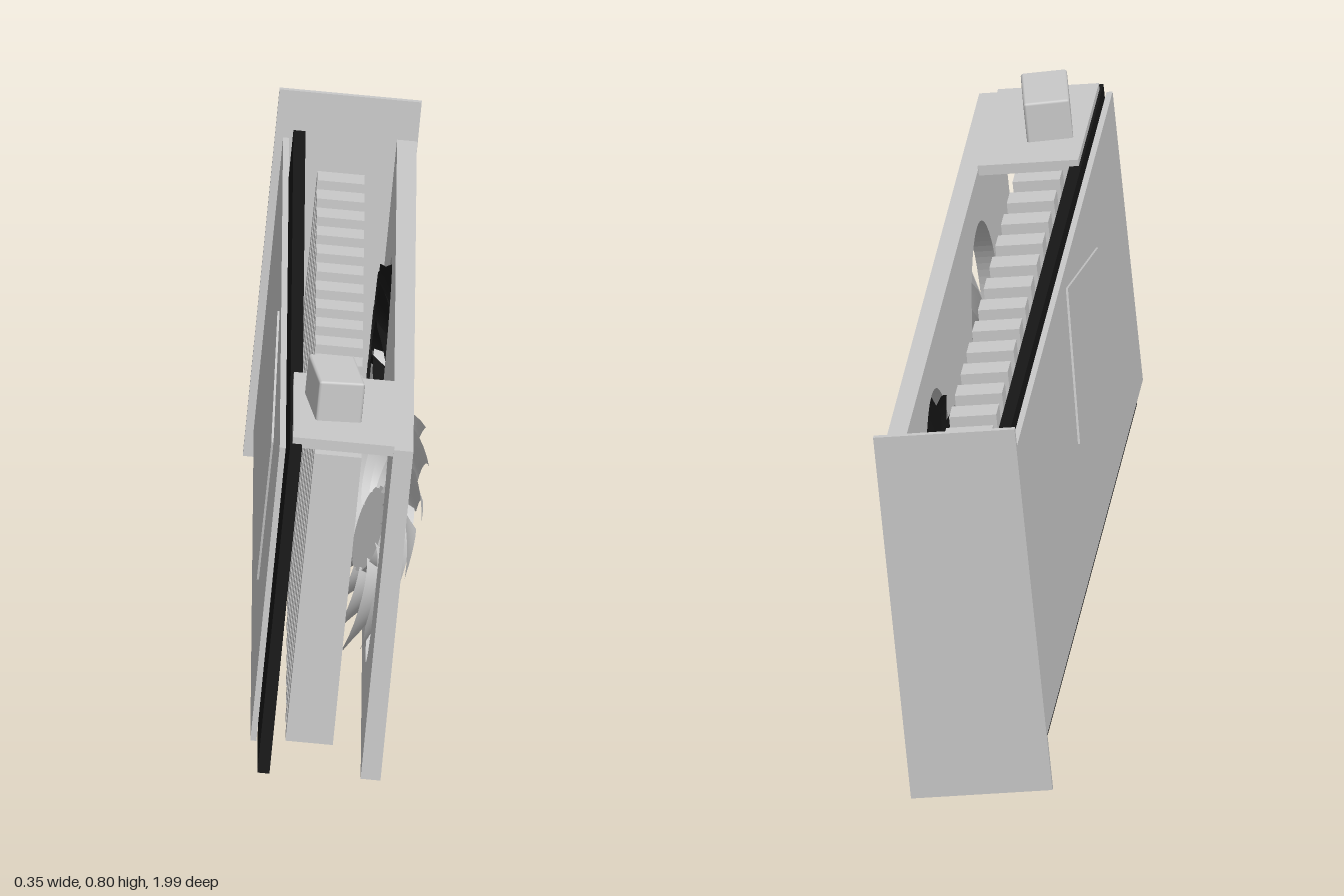
import * as THREE from 'three';
import { RoundedBoxGeometry } from 'three/addons/geometries/RoundedBoxGeometry.js';

export function createModel() {
  const grey = new THREE.MeshStandardMaterial({ color: 0xcacaca });
  grey.name = 'light grey';
  const black = new THREE.MeshStandardMaterial({ color: 0x171717, side: THREE.DoubleSide });
  black.name = 'black';
  const silver = new THREE.MeshStandardMaterial({ color: 0xcdcdcd, side: THREE.DoubleSide });
  silver.name = 'silver';

  // The card leans slightly: pitch first, then roll
  const card = new THREE.Group();
  card.name = 'card';
  card.rotation.set(-0.037, 0, -0.0955, 'ZXY');
  card.position.y = 0.38;

  const add = (name, geometry, material, x = 0, y = 0, z = 0, parent = card) => {
    const mesh = new THREE.Mesh(geometry, material);
    mesh.name = name;
    mesh.position.set(x, y, z);
    parent.add(mesh);
    return mesh;
  };
  const box = (name, material, w, h, d, x, y, z) =>
    add(name, new THREE.BoxGeometry(w, h, d), material, x, y, z);

  // Board, backplate and end bracket
  box('circuitBoard', black, 0.022, 0.618, 1.93, -0.0866, -0.009, 0.018);
  box('backplate', grey, 0.011, 0.557, 1.885, -0.110, 0.0135, 0.02);
  box('backplatePanel', grey, 0.006, 0.285, 0.49, -0.1165, 0.07, 0.24).rotation.x = 0.205;
  box('endBracket', grey, 0.258, 0.697, 0.012, 0, 0.017, -0.981);

  // Heatsink bars
  for (let i = 0; i < 16; i++) {
    box('heatsinkFin', grey, 0.086, 0.546, 0.056, -0.007, -0.012, -0.81 + i * 0.1108);
  }

  // Power cover and its connector
  box('powerCover', grey, 0.184, 0.019, 0.397, -0.001, 0.3025, 0.758);
  add('powerConnector', new RoundedBoxGeometry(0.084, 0.09, 0.167, 1, 0.005), grey,
    -0.021, 0.341, 0.754).rotation.y = 0.125;

  // Shroud plate with two round openings
  const fanY = -0.007, fanZ = [0.45, -0.418], holeR = 0.238;
  const y0 = -0.3195, y1 = 0.3055, z0 = -0.929, z1 = 0.958;
  const shape = new THREE.Shape([
    new THREE.Vector2(-z1, y0), new THREE.Vector2(-z0, y0),
    new THREE.Vector2(-z0, y1), new THREE.Vector2(-z1, y1),
  ]);
  for (const z of fanZ) {
    shape.holes.push(new THREE.Path().absarc(-z, fanY, holeR, 0, Math.PI * 2, true));
  }
  const shroud = new THREE.ExtrudeGeometry(shape, { depth: 0.036, bevelEnabled: false, curveSegments: 48 });
  shroud.rotateY(Math.PI / 2);
  add('shroud', shroud, grey, 0.09, 0, 0);

  // Thin trim lines above and below each opening
  for (const z of fanZ) {
    for (const y of [0.238, -0.257]) box('trimLine', black, 0.002, 0.007, 0.49, 0.1265, y, z);
  }

  // Swept, twisted blade made from chord sections running hub to tip
  const bladeGeometry = () => {
    const rows = 8, cols = 4, pos = [], index = [];
    for (let i = 0; i <= rows; i++) {
      const t = i / rows, r = 0.075 + 0.15 * t;
      const depth = 0.066 - 0.04 * t, mid = 0.1 - 0.017 * t;
      for (let j = 0; j <= cols; j++) {
        const s = j / cols - 0.5;
        const a = 0.6 * t ** 1.4 + s * 0.4;
        pos.push(mid + s * depth + 0.008 * (0.25 - s * s), r * Math.sin(a), -r * Math.cos(a));
        if (i < rows && j < cols) {
          const k = i * (cols + 1) + j, n = k + cols + 1;
          index.push(k, n, k + 1, k + 1, n, n + 1);
        }
      }
    }
    const g = new THREE.BufferGeometry();
    g.setAttribute('position', new THREE.Float32BufferAttribute(pos, 3));
    g.setIndex(index);
    g.computeVertexNormals();
    return g;
  };
  const blade = bladeGeometry();

  // Fans: blades around a round hub with a raised cap
  const makeFan = (name, material, z) => {
    const fan = new THREE.Group();
    fan.name = name;
    const pivot = 0.09;
    fan.position.set(pivot, fanY, z);
    const count = 13;
    for (let i = 0; i < count; i++) {
      add('fanBlade', blade, material, -pivot, 0, 0, fan).rotation.x = (i / count) * Math.PI * 2;
    }
    const hub = new THREE.CylinderGeometry(0.08, 0.08, 0.055, 40).rotateZ(-Math.PI / 2);
    add('fanHub', hub, grey, 0.01, 0, 0, fan);
    const cap = new THREE.CylinderGeometry(0.058, 0.06, 0.004, 40).rotateZ(-Math.PI / 2);
    add('hubCap', cap, grey, 0.039, 0, 0, fan);
    card.add(fan);
    return fan;
  };
  // The front fan sits tilted in its opening
  makeFan('frontFan', silver, fanZ[0]).rotation.set(0, 0.22, -0.24);
  makeFan('rearFan', black, fanZ[1]);

  const model = new THREE.Group();
  model.name = 'expansionCard';
  model.add(card);
  return model;
}
